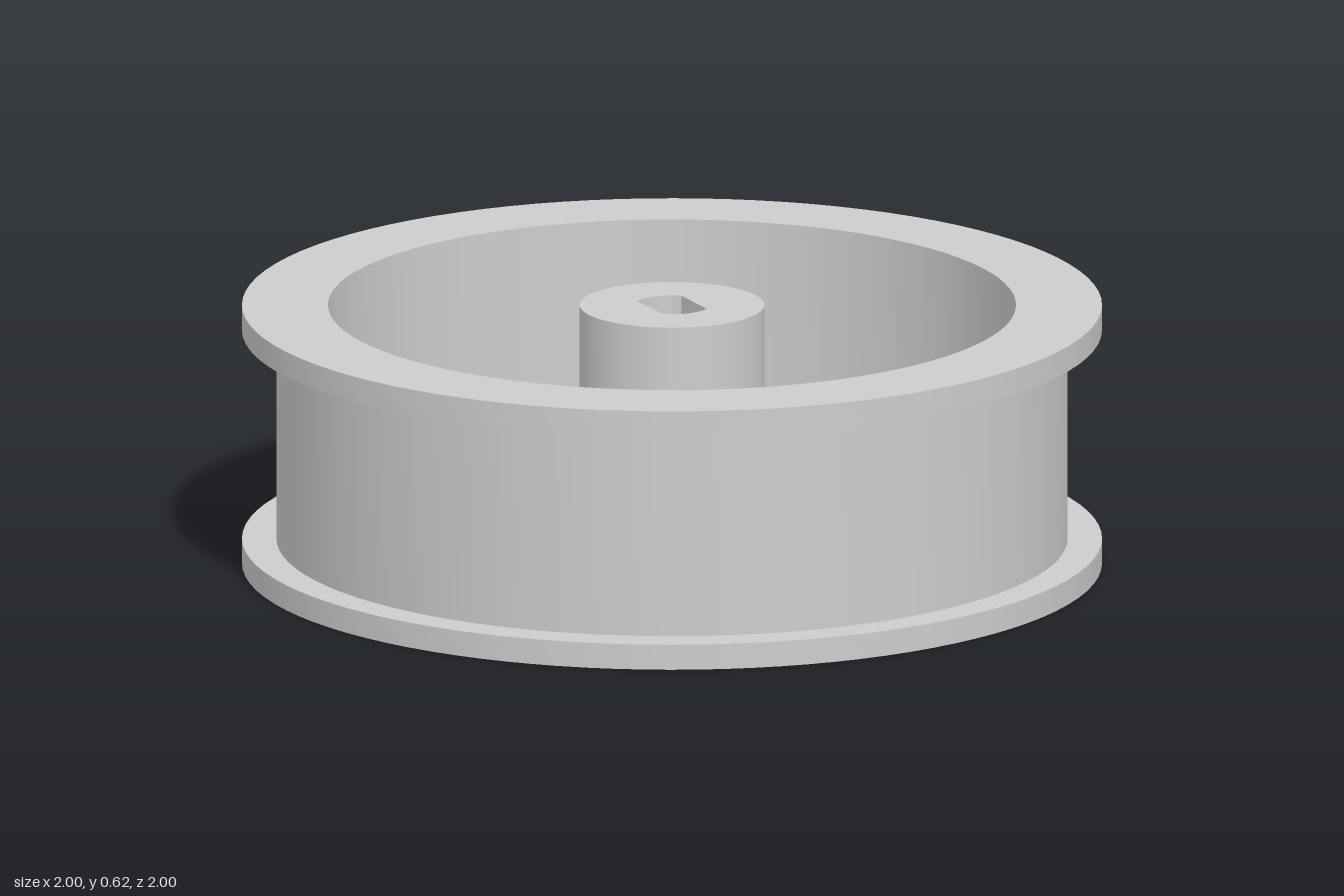
import * as THREE from 'three';
import { toCreasedNormals } from 'three/addons/utils/BufferGeometryUtils.js';

const H = 0.62, FLOOR = 0.155, HOLE_R = 0.155, HUB_R = 0.215;

export function createModel() {
  const wheel = new THREE.Group();
  wheel.name = 'wheel';
  const grey = new THREE.MeshStandardMaterial({ color: 0xcccccc });
  grey.name = 'light grey';

  const add = (name, geometry, x = 0, y = 0, z = 0) => {
    const mesh = new THREE.Mesh(toCreasedNormals(geometry, 0.5), grey);
    mesh.name = name;
    mesh.position.set(x, y, z);
    wheel.add(mesh);
  };
  const lathe = (points, segments = 96) =>
    new THREE.LatheGeometry(points.map(([r, y]) => new THREE.Vector2(r, y)), segments);
  const circle = (r, x = 0, y = 0, Type = THREE.Path) => new Type().absarc(x, y, r, 0, Math.PI * 2, false);

  // Five lightening holes around the axle
  const holes = Array.from({ length: 5 }, (_, i) => {
    const a = i * Math.PI * 2 / 5;
    return [0.52 * Math.cos(a), 0.52 * Math.sin(a)];
  });
  const disc = (outer, inner) => {
    const shape = circle(outer, 0, 0, THREE.Shape);
    shape.holes.push(circle(inner), ...holes.map(([x, y]) => circle(HOLE_R, x, y)));
    return new THREE.ShapeGeometry(shape, 48);
  };

  // Rim with two flanges and its inner wall
  add('rim', lathe([[1, 0], [1, 0.06], [0.92, 0.06], [0.92, 0.56],
    [1, 0.56], [1, H], [0.8, H], [0.8, FLOOR]]));

  // Web: underside, inner floor and hole walls
  add('underside', disc(1, 0.08).rotateX(Math.PI / 2));
  add('floor', disc(0.8, HUB_R).rotateX(-Math.PI / 2), 0, FLOOR);
  holes.forEach(([x, z]) => add('holeWall', lathe([[HOLE_R, FLOOR], [HOLE_R, 0]]), x, 0, z));

  // Hub with a flat-sided shaft socket
  const hub = circle(HUB_R, 0, 0, THREE.Shape);
  const a = Math.acos(0.057 / 0.088);
  const socket = new THREE.Path();
  socket.absarc(0, 0, 0.088, a, Math.PI - a, false);
  socket.absarc(0, 0, 0.088, Math.PI + a, Math.PI * 2 - a, false);
  socket.closePath();
  hub.holes.push(socket);
  add('hub', new THREE.ExtrudeGeometry(hub, { depth: H - FLOOR, bevelEnabled: false, curveSegments: 48 })
    .rotateX(-Math.PI / 2), 0, FLOOR);

  // Socket ledge, screw bore and counterbore
  add('bore', lathe([[0.09, 0.35], [0.04, 0.35], [0.04, 0.15], [0.08, 0.15], [0.08, 0]]));

  return wheel;
}
